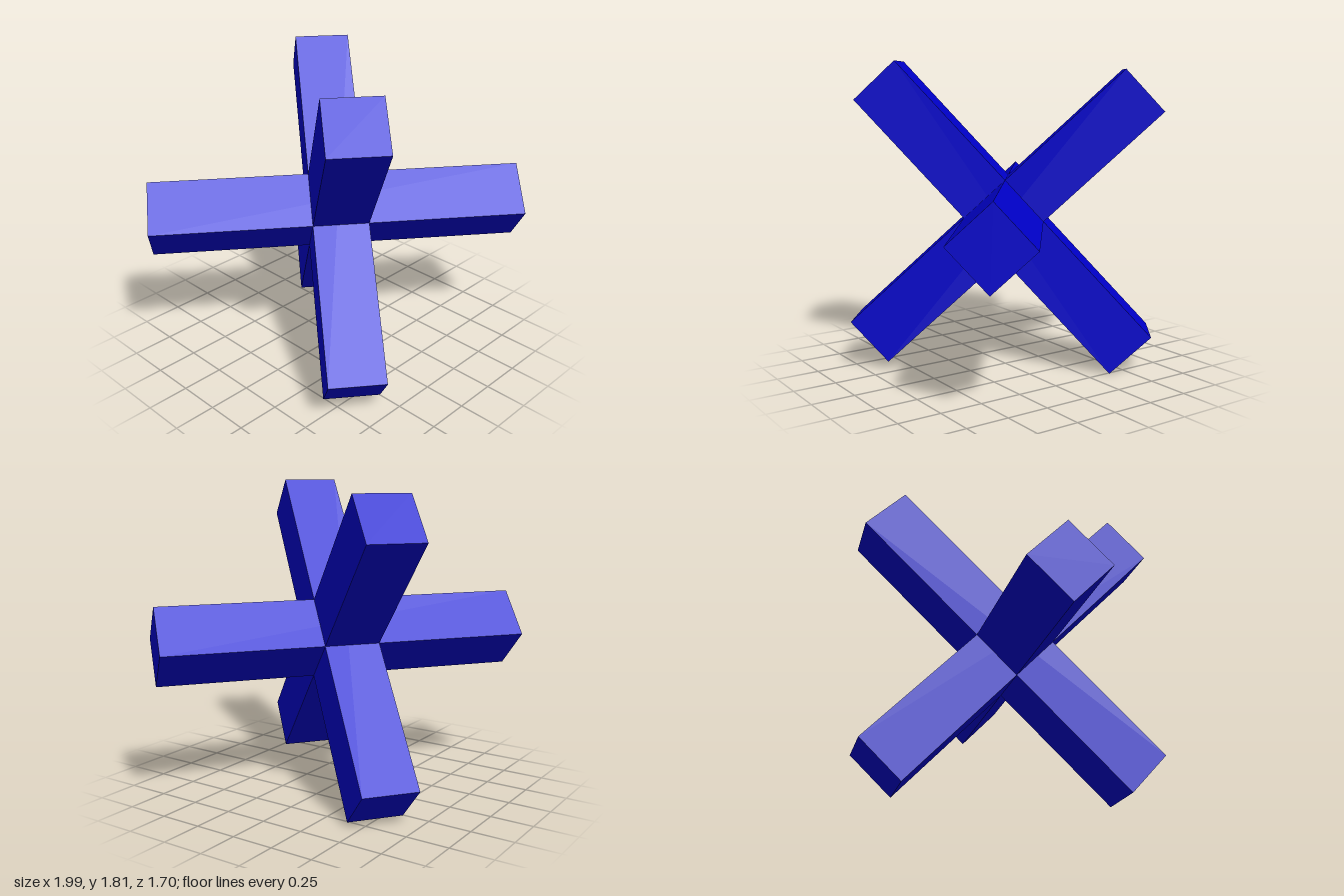
import * as THREE from 'three';

// Three square bars crossing at right angles, tipped onto their ends
export function createModel() {
  const group = new THREE.Group();
  group.name = 'crossedBars';
  const material = new THREE.MeshStandardMaterial({ color: 0x0000cc });
  const length = 2.174;
  const side = 0.325;

  const bars = new THREE.Group();
  bars.name = 'bars';
  ['crossBar', 'frontLeaningBar', 'backLeaningBar'].forEach((name, axis) => {
    const size = [side, side, side];
    size[axis] = length;
    const bar = new THREE.Mesh(new THREE.BoxGeometry(...size), material);
    bar.name = name;
    bars.add(bar);
  });

  // Tilt about the horizontal bar, then turn about the vertical
  const deg = THREE.MathUtils.degToRad;
  bars.rotation.set(deg(42.9), deg(-38.1), 0, 'YXZ');
  bars.position.y = 0.908;
  group.add(bars);
  return group;
}
